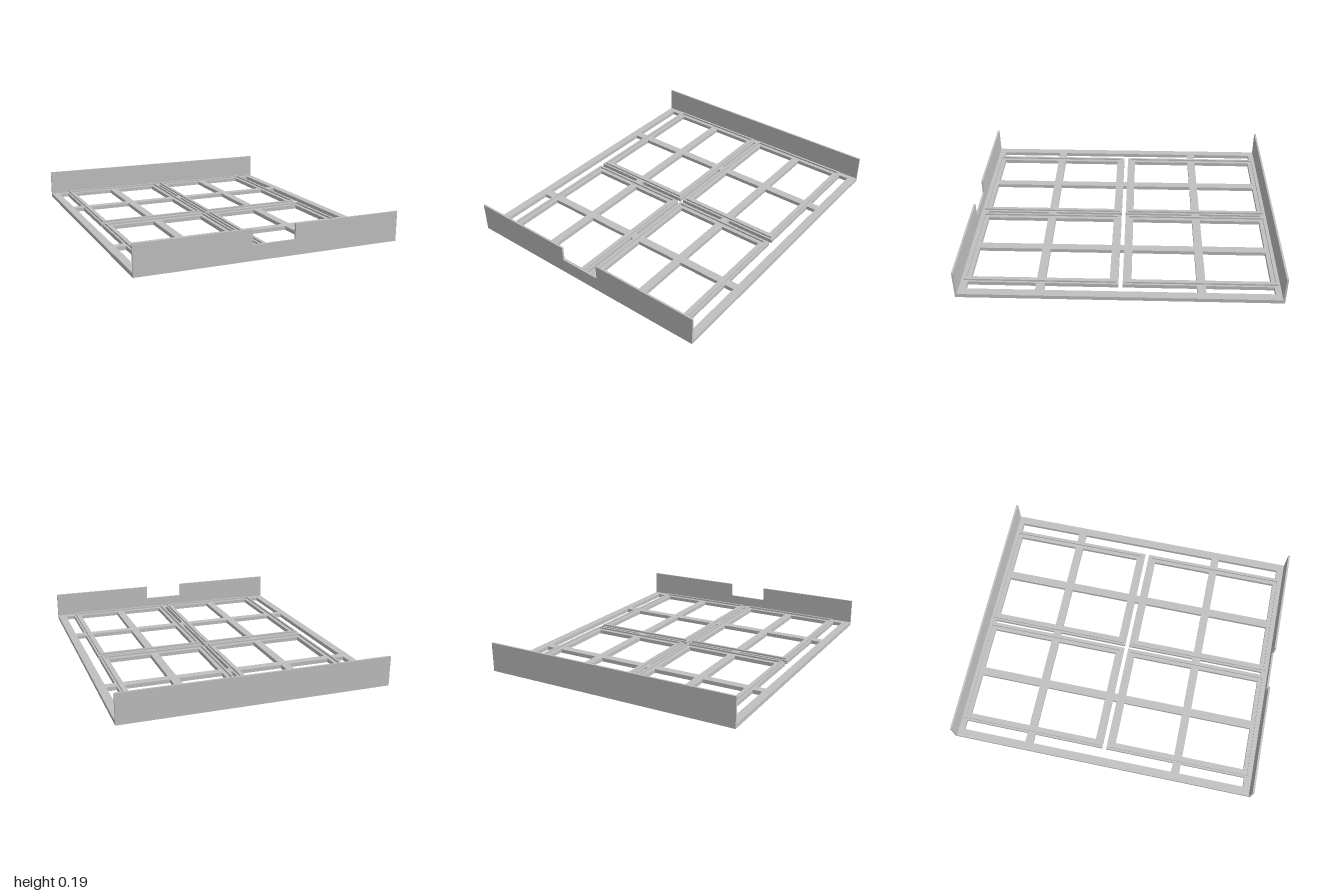
import * as THREE from 'three';

const BASE = 0.025; // thickness of the flat lattice
const RIM = 0.036;  // top of the raised tray rims
const WALL = 0.19;  // height of the end walls

export function createModel() {
  const model = new THREE.Group();
  model.name = 'trayRack';
  const grey = new THREE.MeshStandardMaterial({ color: 0xc0c0c0 });
  grey.name = 'light grey';

  const add = (name, geometry) => {
    const mesh = new THREE.Mesh(geometry, grey);
    mesh.name = name;
    model.add(mesh);
    return mesh;
  };

  // Flat bar covering an x and z range
  const bar = (name, x0, x1, z0, z1) =>
    add(name, new THREE.BoxGeometry(x1 - x0, BASE, z1 - z0))
      .position.set((x0 + x1) / 2, BASE / 2, (z0 + z1) / 2);

  // Rectangular ring lying flat, given outer and inner half sizes
  const rect = (Type, hx, hz) => new Type([
    new THREE.Vector2(-hx, -hz), new THREE.Vector2(hx, -hz),
    new THREE.Vector2(hx, hz), new THREE.Vector2(-hx, hz),
  ]);
  const ring = (name, cx, cz, outer, inner, y0, y1) => {
    const shape = rect(THREE.Shape, ...outer);
    shape.holes.push(rect(THREE.Path, ...inner));
    const geometry = new THREE.ExtrudeGeometry(shape, { depth: y1 - y0, bevelEnabled: false });
    geometry.rotateX(-Math.PI / 2);
    add(name, geometry).position.set(cx, y0, cz);
  };

  // Outer frame
  bar('leftRail', 0.797, 0.85, -1, 1);
  bar('rightRail', -0.85, -0.797, -1, 1);
  bar('backRail', -0.797, 0.797, -1, -0.95);
  bar('frontRail', -0.797, 0.797, 0.942, 1);

  // Lattice bars under the trays
  for (const x of [-0.374, 0.372]) bar('longBar', x - 0.027, x + 0.027, -0.95, 0.942);
  for (const z of [-0.502, 0.49]) bar('crossBar', -0.797, 0.797, z - 0.027, z + 0.027);

  // Four tray seats, each a flat ring with a raised rim
  for (const cx of [-0.372, 0.372]) {
    for (const cz of [-0.503, 0.496]) {
      ring('traySeat', cx, cz, [0.362, 0.486], [0.311, 0.432], 0, BASE);
      ring('trayRim', cx, cz, [0.349, 0.473], [0.336, 0.459], BASE, RIM);
    }
  }

  // Plain back wall
  add('backWall', new THREE.BoxGeometry(1.7, WALL, 0.012)).position.set(0, WALL / 2, -0.994);

  // Front wall with a notch in its top edge
  const wall = new THREE.Shape([
    [-0.85, 0], [0.85, 0], [0.85, WALL], [0.138, WALL],
    [0.138, 0.095], [-0.138, 0.095], [-0.138, WALL], [-0.85, WALL],
  ].map(([x, y]) => new THREE.Vector2(x, y)));
  add('frontWall', new THREE.ExtrudeGeometry(wall, { depth: 0.012, bevelEnabled: false }))
    .position.z = 0.988;

  return model;
}
